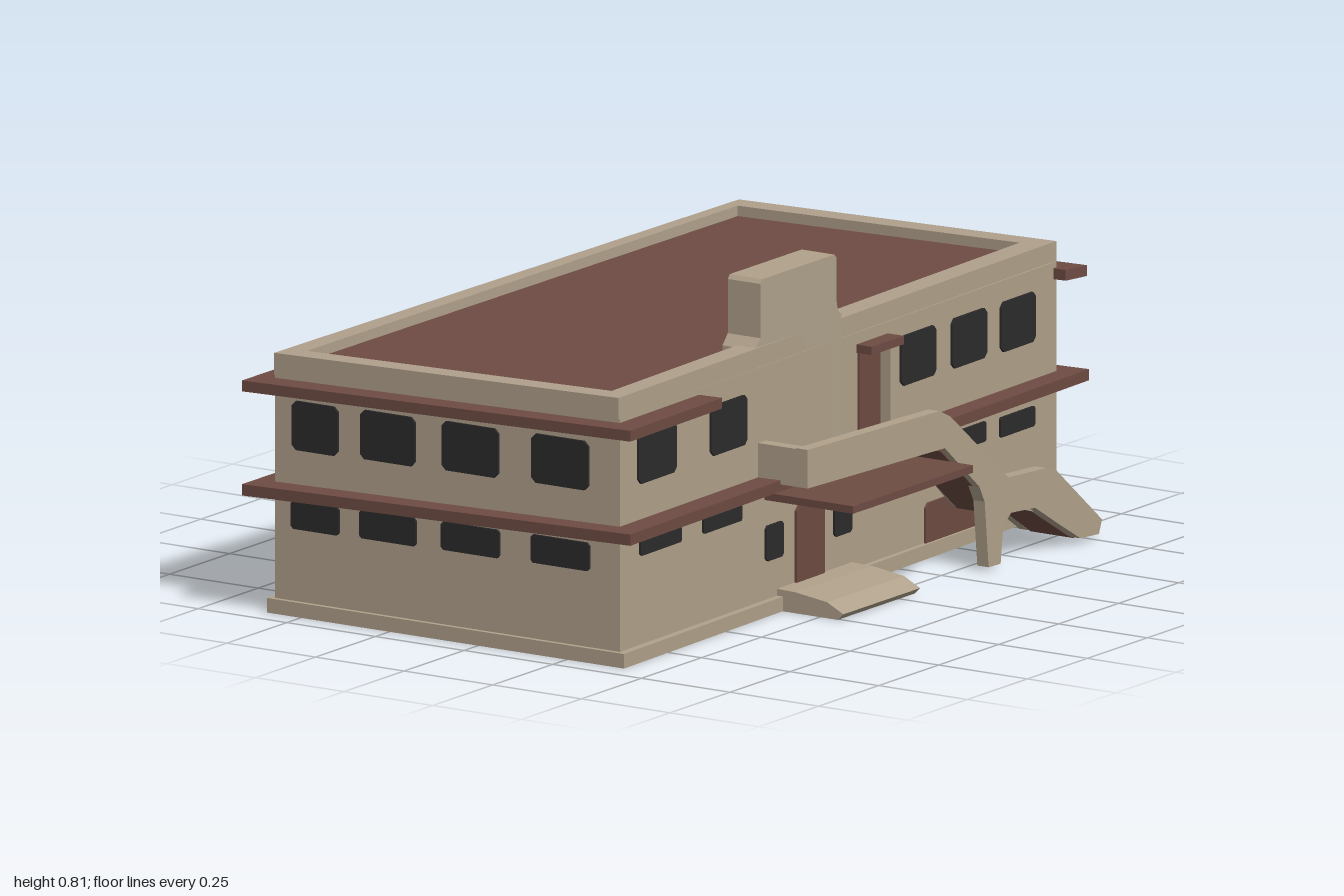
import * as THREE from 'three';

export function createModel() {
  const model = new THREE.Group();
  const mat = (name, color) => {
    const m = new THREE.MeshStandardMaterial({ color });
    m.name = name;
    return m;
  };
  const plaster = mat('plaster', 0xb0a18b);
  const brown = mat('brown', 0x6e4c43);
  const glass = mat('dark glass', 0x2b2b2c);

  const add = (name, geo, material) => {
    const mesh = new THREE.Mesh(geo, material);
    mesh.name = name;
    model.add(mesh);
    return mesh;
  };
  const move = (geo, rule) => {
    const p = geo.attributes.position;
    const v = new THREE.Vector3();
    for (let i = 0; i < p.count; i++) {
      rule(v.fromBufferAttribute(p, i));
      p.setXYZ(i, v.x, v.y, v.z);
    }
    geo.computeVertexNormals();
    return geo;
  };
  const shapeOf = pts => new THREE.Shape(pts.map(([a, b]) => new THREE.Vector2(a, b)));
  const box = (name, x0, x1, y0, y1, z0, z1, material) => {
    const m = add(name, new THREE.BoxGeometry(x1 - x0, y1 - y0, z1 - z0), material);
    m.position.set((x0 + x1) / 2, (y0 + y1) / 2, (z0 + z1) / 2);
    return m;
  };
  // horizontal slab from a plan of [x, z] points, rising gently towards +x
  const slab = (name, plan, y0, y1, material, hole, slope = 0.022) => {
    const flip = pts => pts.map(([x, z]) => [x, -z]);
    const s = shapeOf(flip(plan));
    if (hole) s.holes.push(shapeOf(flip(hole)));
    const g = new THREE.ExtrudeGeometry(s, { depth: y1 - y0, bevelEnabled: false });
    g.rotateX(-Math.PI / 2).translate(0, y0, 0);
    add(name, move(g, v => { if (v.y > 0.1) v.y += slope * v.x; }), material);
  };
  // side profile of [-z, y] points given thickness along x, splaying out to the back
  const side = (name, pts, x, depth, material, splay = 0) => {
    const g = new THREE.ExtrudeGeometry(shapeOf(pts), { depth, bevelEnabled: false });
    g.rotateY(Math.PI / 2).translate(x, 0, 0);
    return add(name, move(g, v => { v.x += splay * (0.335 - v.z); }), material);
  };

  // walls, plinth, parapet and roof
  const walls = [[-0.58, 0.93], [0.392, 0.93], [0.355, -0.943], [-0.555, -0.943]];
  slab('walls', walls, 0.005, 0.59, plaster);
  slab('plinth', [[-0.595, 0.942], [0.412, 0.942], [0.365, -0.948], [-0.568, -0.948]], 0, 0.035, plaster);
  slab('parapet', [[-0.58, 0.935], [0.392, 0.935], [0.35, -0.95], [-0.545, -0.95]], 0.585, 0.637, plaster,
    [[-0.525, 0.88], [0.335, 0.88], [0.285, -0.893], [-0.51, -0.893]]);
  slab('roof', [[-0.53, 0.885], [0.34, 0.885], [0.29, -0.898], [-0.515, -0.898]], 0.588, 0.612, brown);

  // eaves: a full lower band, and upper returns at both ends
  slab('lowerEave', [[-0.632, 0.992], [0.46, 0.987], [0.41, -0.997], [-0.632, -0.992]], 0.3, 0.327, brown);
  slab('upperFrontEave', [[-0.632, 0.992], [0.46, 0.987], [0.45, 0.59], [-0.632, 0.59]], 0.55, 0.576, brown);
  slab('upperBackEave', [[-0.59, -0.93], [0.39, -0.93], [0.405, -0.997], [-0.632, -0.992]], 0.55, 0.576, brown);

  // thin plates laid on a wall
  const rightX = z => 0.3736 + 0.01975 * z;
  const leftX = z => -0.5676 - 0.01335 * z;
  const plate = (name, w, h, x, y, z, turn, material = glass) => {
    const s = new THREE.Shape();
    const r = Math.min(w, h) * 0.1, a = w / 2, b = h / 2;
    s.moveTo(-a + r, -b).lineTo(a - r, -b).lineTo(a, -b + r).lineTo(a, b - r)
      .lineTo(a - r, b).lineTo(-a + r, b).lineTo(-a, b - r).lineTo(-a, -b + r).closePath();
    const m = add(name, new THREE.ExtrudeGeometry(s, { depth: 0.006, bevelEnabled: false }), material);
    m.position.set(x, y, z);
    m.rotation.y = turn;
  };
  const rightPlate = (name, z, w, y, h, material) =>
    plate(name, w, h, rightX(z), y, z, Math.PI / 2 + 0.0197, material);
  const leftPlate = (name, z, w, y, h) =>
    plate(name, w, h, leftX(z), y, z, -Math.PI / 2 - 0.0133);

  // front and back windows
  [[-0.465, 0.13], [-0.26, 0.155], [-0.027, 0.16], [0.226, 0.16]].forEach(([x, w], i) => {
    plate('frontUpperWindow', w, 0.118, x, 0.458 + i * 0.004, 0.93, 0);
    plate('frontLowerWindow', w + 0.005, 0.068, x, 0.243 + i * 0.003, 0.93, 0);
  });
  [0.2, -0.03, -0.25, -0.455].forEach(x => {
    plate('backUpperWindow', 0.14, 0.118, x, 0.475, -0.943, Math.PI);
    plate('backLowerWindow', 0.14, 0.055, x, 0.243, -0.943, Math.PI);
  });

  // right side windows
  [[0.775, 0.163, 0.482], [0.468, 0.155, 0.487], [-0.345, 0.15, 0.492], [-0.563, 0.15, 0.49], [-0.773, 0.148, 0.487]]
    .forEach(([z, w, y]) => rightPlate('rightUpperWindow', z, w, y, 0.12));
  [[0.76, 0.175, 0.273], [0.495, 0.165, 0.272], [-0.345, 0.15, 0.26], [-0.56, 0.15, 0.253], [-0.77, 0.148, 0.248]]
    .forEach(([z, w, y]) => rightPlate('rightLowerWindow', z, w, y, 0.048));
  [0.272, -0.022].forEach(z => rightPlate('entranceWindow', z, 0.075, 0.17, 0.085));

  // left side windows
  [-0.8, -0.49, -0.21, 0.1, 0.475, 0.785].forEach(z => leftPlate('leftUpperWindow', z, 0.15, 0.475, 0.118));
  [-0.8, -0.49, -0.21, 0.23, 0.475, 0.785].forEach(z => leftPlate('leftLowerWindow', z, 0.14, 0.25, 0.055));
  leftPlate('leftSmallWindow', 0.02, 0.08, 0.19, 0.055);

  // doors and entrance step
  rightPlate('entranceDoor', 0.12, 0.12, 0.138, 0.195, brown);
  rightPlate('balconyDoor', -0.135, 0.09, 0.45, 0.22, brown);
  rightPlate('underStairDoor', -0.5, 0.25, 0.075, 0.11, brown);
  box('doorHood', 0.35, 0.415, 0.55, 0.57, -0.22, -0.085, brown);
  box('doorReveal', 0.35, 0.4, 0.34, 0.55, -0.205, -0.185, plaster);
  const step = new THREE.ExtrudeGeometry(
    shapeOf([[0.36, 0], [0.55, 0], [0.565, 0.015], [0.52, 0.038], [0.43, 0.05], [0.36, 0.052]]),
    { depth: 0.32, bevelEnabled: false });
  add('entranceStep', step.translate(0, 0, -0.065), plaster);

  // chimney block with flared foot
  side('chimney', [[-0.34, 0.33], [0.02, 0.33], [0.02, 0.655], [0.004, 0.67], [0, 0.69], [0, 0.795], [-0.01, 0.805],
    [-0.31, 0.805], [-0.318, 0.795], [-0.318, 0.665], [-0.34, 0.64]], 0.282, 0.092, plaster);

  // balcony deck and entrance canopy
  box('canopy', 0.36, 0.63, 0.276, 0.294, -0.19, 0.31, brown);
  box('balconyDeck', 0.36, 0.515, 0.325, 0.342, -0.02, 0.325, brown);
  box('balconyLanding', 0.36, 0.51, 0.325, 0.345, -0.22, -0.02, plaster);
  box('balconyEndRail', 0.36, 0.52, 0.327, 0.418, 0.305, 0.337, plaster);

  // outer balcony and stair rail with its post
  side('outerRail', [[-0.337, 0.327], [0.18, 0.327], [0.31, 0.21], [0.33, 0.17], [0.345, 0.01], [0.39, 0.01],
    [0.4, 0.1], [0.43, 0.125], [0.52, 0.12], [0.6, 0.07], [0.69, 0.015], [0.76, 0.012], [0.772, 0.045],
    [0.6, 0.195], [0.56, 0.208], [0.42, 0.212], [0.2, 0.4], [0.16, 0.42], [-0.337, 0.42]], 0.488, 0.032, plaster, 0.072);
  // low inner rail beside the flight
  side('innerRail', [[0.2, 0.33], [0.43, 0.12], [0.54, 0.12], [0.7, 0.012], [0.765, 0.012], [0.77, 0.045],
    [0.6, 0.175], [0.43, 0.18], [0.22, 0.37]], 0.385, 0.025, plaster, 0.03);

  // stair treads in two flights around a half landing, with a brown soffit
  const treads = [[0.19, 0.345]];
  const flight = (z0, y0, z1, y1, n) => {
    for (let i = 1; i <= n; i++) {
      const y = y0 + (y1 - y0) * i / n;
      treads.push([z0 + (z1 - z0) * (i - 1) / n, y], [z0 + (z1 - z0) * i / n, y]);
    }
  };
  flight(0.19, 0.345, 0.43, 0.15, 7);
  flight(0.55, 0.15, 0.76, 0.025, 5);
  side('stairTreads', [...treads, [0.76, 0.01], [0.71, 0.01], [0.54, 0.128], [0.42, 0.128], [0.19, 0.326]],
    0.395, 0.12, plaster, 0.05);
  side('stairSoffit', [[0.19, 0.326], [0.42, 0.128], [0.54, 0.128], [0.71, 0.01], [0.7, 0.01], [0.535, 0.12],
    [0.415, 0.12], [0.185, 0.316]], 0.395, 0.12, brown, 0.05);

  return model;
}
